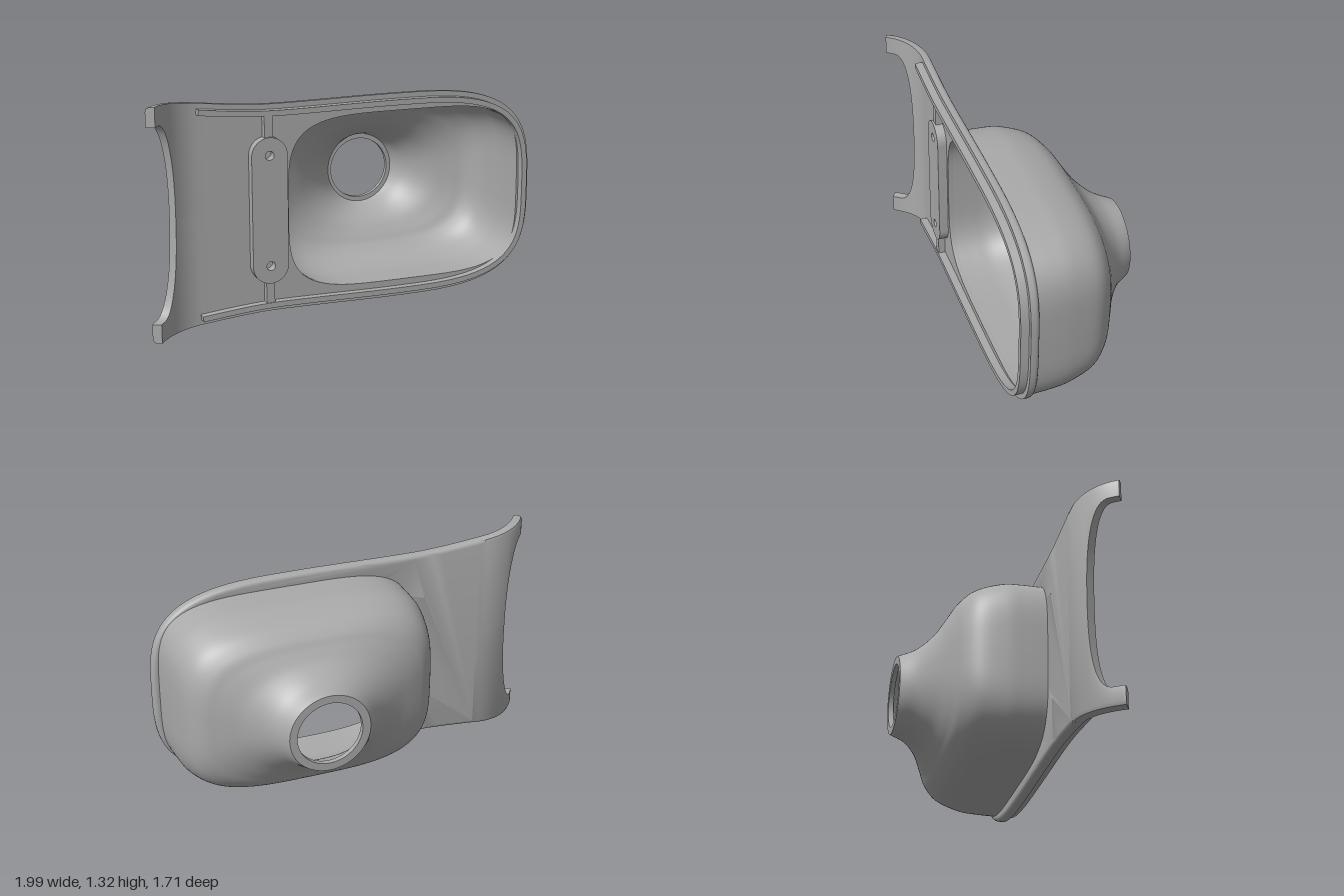
import * as THREE from 'three';
import { toCreasedNormals } from 'three/addons/utils/BufferGeometryUtils.js';

const BACK = 0.047, FRONT = 0.1;        // plate thickness range
const BEND_X = -0.968, BEND_R = 0.37;   // where the plate starts to curl, and its outer radius
const SCREW_X = -0.57, SCREW_Y = 0.32;
const { smoothstep, lerp, degToRad } = THREE.MathUtils;

// Half-height of the plate left of its rounded end
const halfHeight = x => 0.602 + 0.008 * smoothstep(x, -0.5, 0.2) + 0.058 * (1 - smoothstep(x, -1.35, -0.5));

const power = (v, p) => Math.sign(v) * Math.abs(v) ** p;

// Closed superellipse between x = l and x = r
function oval(l, r, hy, n, count = 96) {
  return Array.from({ length: count }, (_, k) => {
    const a = k / count * Math.PI * 2;
    return new THREE.Vector2((l + r) / 2 + (r - l) / 2 * power(Math.cos(a), 2 / n), hy * power(Math.sin(a), 2 / n));
  });
}

// Skin through closed rings that all have the same number of points
function loft(rings, crease) {
  const n = rings[0].length, index = [];
  for (let i = 0; i < rings.length - 1; i++) {
    for (let k = 0; k < n; k++) {
      const a = i * n + k, b = i * n + (k + 1) % n;
      index.push(a, b, b + n, a, b + n, a + n);
    }
  }
  const geo = new THREE.BufferGeometry();
  geo.setAttribute('position', new THREE.Float32BufferAttribute(rings.flat().flatMap(p => [p.x, p.y, p.z]), 3));
  geo.setIndex(index);
  return toCreasedNormals(geo, crease);
}

// Plate outline from the upper left, round the right end, to the lower left
function outline() {
  const pts = [];
  for (let i = 0; i < 20; i++) {
    const x = lerp(BEND_X, 0.2, i / 20);
    pts.push(new THREE.Vector2(x, halfHeight(x)));
  }
  for (let i = 0; i <= 64; i++) {
    const a = Math.PI / 2 - i / 64 * Math.PI;
    pts.push(new THREE.Vector2(0.2 + 0.89 * power(Math.max(Math.cos(a), 0), 2 / 3.3), 0.61 * power(Math.sin(a), 2 / 3.3)));
  }
  for (let i = 19; i >= 0; i--) pts.push(new THREE.Vector2(pts[i].x, -pts[i].y));
  return pts;
}

function inset(pts, d) {
  return pts.map((p, i) => {
    const t = pts[Math.min(i + 1, pts.length - 1)].clone().sub(pts[Math.max(i - 1, 0)]).normalize();
    return new THREE.Vector2(p.x + t.y * d, p.y - t.x * d);
  });
}

const circleHole = (x, y, r) => new THREE.Path().absarc(x, y, r, 0, Math.PI * 2, true);

function plateGeometry() {
  const bevel = 0.025, depth = FRONT - BACK - bevel;
  const shape = new THREE.Shape(outline());
  shape.holes.push(new THREE.Path(oval(-0.442, 1.016, 0.51, 4.2)));
  for (const s of [-1, 1]) shape.holes.push(circleHole(SCREW_X, s * SCREW_Y, 0.026));
  const geo = new THREE.ExtrudeGeometry(shape, {
    depth, curveSegments: 24, bevelThickness: bevel, bevelSize: bevel, bevelOffset: -bevel, bevelSegments: 4
  });
  // Keep the rounding on the back only
  const pos = geo.attributes.position;
  for (let i = 0; i < pos.count; i++) pos.setZ(i, Math.min(pos.getZ(i), depth));
  geo.translate(0, 0, BACK + bevel);
  return toCreasedNormals(geo, 0.6);
}

// One half of the curled end, with its share of the concave cutout
function curlGeometry(side) {
  const start = 27, stop = 51.5, rows = [-6];
  for (let i = 0; i < 6; i++) rows.push(i * start / 6);
  for (let i = 0; i <= 20; i++) rows.push(start + (stop - start) * (i / 20) ** 2.4);
  rows.push(54, 57, 60);
  const rings = rows.map(deg => {
    const a = degToRad(deg), h = halfHeight(BEND_X - BEND_R * a);
    const d = Math.min(Math.max((deg - start) / (stop - start), 0), 1);
    const c = 0.55 * (1 - (1 - d) ** 2.4) ** (1 / 2.4);
    const loop = [[c, FRONT], [h, FRONT], [h, BACK + 0.025], [h - 0.007, BACK + 0.007], [h - 0.025, BACK], [c, BACK]];
    if (side < 0) loop.reverse();
    return loop.map(([y, w]) => {
      const r = BEND_R + BACK - w;
      const x = deg < 0 ? BEND_X - BEND_R * a : BEND_X - r * Math.sin(a);
      return new THREE.Vector3(x, side * y, deg < 0 ? w : BEND_R + BACK - r * Math.cos(a));
    });
  });
  // End cap
  const last = rings[rings.length - 1], mid = new THREE.Vector3();
  last.forEach(p => mid.addScaledVector(p, 1 / last.length));
  rings.push(last.map(() => mid.clone()));
  return loft(rings, 0.6);
}

// Hollow bowl: inner skin towards the neck, then the outer skin back to the plate
function bowlGeometry() {
  // depth, left, right, half-height, squareness
  const sections = [
    [0.05, -0.497, 1.054, 0.545, 4.2], [-0.07, -0.495, 1.043, 0.545, 4.2], [-0.18, -0.488, 1.028, 0.54, 4.1],
    [-0.32, -0.456, 0.996, 0.505, 3.7], [-0.4, -0.393, 0.935, 0.45, 3.3], [-0.445, -0.315, 0.855, 0.39, 2.9],
    [-0.505, -0.18, 0.735, 0.32, 2.4], [-0.59, -0.035, 0.615, 0.265, 2.1], [-0.69, 0.064, 0.534, 0.235, 2]
  ];
  const edges = new THREE.CatmullRomCurve3(sections.map(s => new THREE.Vector3(s[0], s[1], s[2])), false, 'catmullrom');
  const girth = new THREE.CatmullRomCurve3(sections.map(s => new THREE.Vector3(s[0], s[3], s[4])), false, 'catmullrom');
  const ring = (w, l, r, hy, n) => oval(l, r, hy, n).map(p => new THREE.Vector3(p.x, p.y, w));
  const inner = [], outer = [], steps = 48;
  for (let i = 0; i <= steps; i++) {
    const t = i / steps, k = 1 - 0.5 * t, e = edges.getPoint(t), g = girth.getPoint(t);
    inner.push(ring(i ? e.x + 0.03 : FRONT, e.y + 0.055 * k, e.z - 0.038 * k, g.y - 0.035 * k, g.z));
    outer.unshift(ring(e.x, e.y, e.z, g.y, g.z));
  }
  const bore = [-0.66, -0.69].map(w => ring(w, 0.111, 0.489, 0.189, 2));
  return loft([...inner, ...bore, ...outer], 0.6);
}

function rimGeometry() {
  const pts = outline();
  const shape = new THREE.Shape([...inset(pts, 0.03), ...inset(pts, 0.062).reverse()]);
  const geo = new THREE.ExtrudeGeometry(shape, { depth: 0.047, bevelEnabled: false });
  return toCreasedNormals(geo.translate(0, 0, FRONT), 0.5);
}

// Rounded mounting pad with two screw holes
function padGeometry() {
  const r = 0.106, y = 0.317;
  const shape = new THREE.Shape();
  shape.absarc(SCREW_X, y, r, 0, Math.PI, false);
  shape.absarc(SCREW_X, -y, r, Math.PI, Math.PI * 2, false);
  for (const s of [-1, 1]) shape.holes.push(circleHole(SCREW_X, s * SCREW_Y, 0.026));
  const geo = new THREE.ExtrudeGeometry(shape, { depth: 0.055, bevelEnabled: false, curveSegments: 24 });
  return toCreasedNormals(geo.translate(0, 0, FRONT), 0.5);
}

export function createModel() {
  const grey = new THREE.MeshStandardMaterial({ color: 0xaaaaaa });
  grey.name = 'grey';
  const model = new THREE.Group();
  model.name = 'funnelHousing';
  const add = (name, geo) => {
    const mesh = new THREE.Mesh(geo, grey);
    mesh.name = name;
    model.add(mesh);
    return mesh;
  };

  add('plate', plateGeometry());
  add('bowl', bowlGeometry());
  add('rim', rimGeometry());
  add('mountingPad', padGeometry());
  for (const side of [1, -1]) {
    const label = side > 0 ? 'upper' : 'lower';
    add(label + 'CurledEnd', curlGeometry(side));
    add(label + 'Rib', new THREE.BoxGeometry(0.05, 0.14, 0.042)).position.set(SCREW_X, side * 0.48, FRONT + 0.021);
  }

  // The plate stands upright, turned thirty degrees
  model.rotation.y = Math.PI / 6;
  model.position.y = 0.66;
  return model;
}
